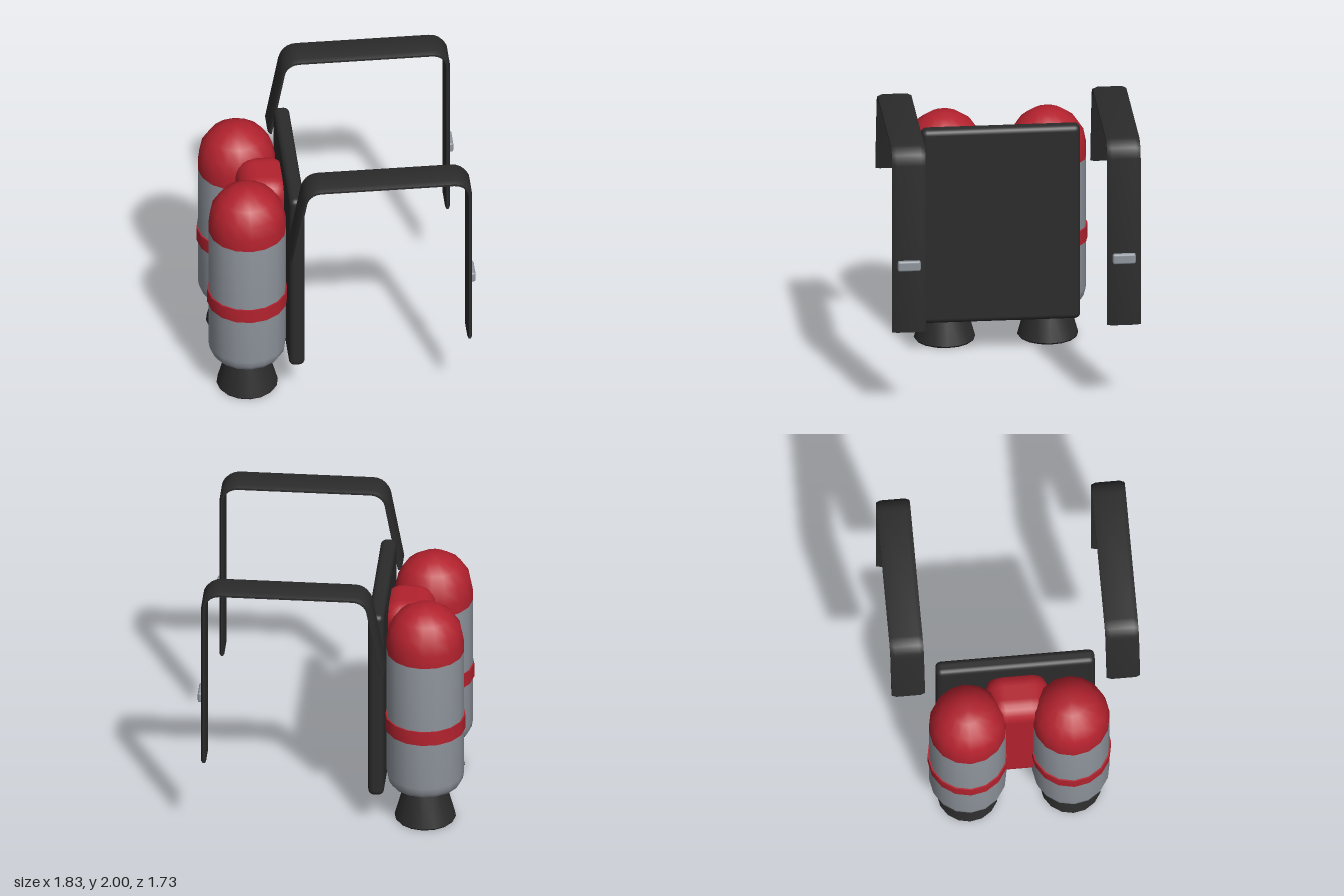
import * as THREE from 'three';
import { toCreasedNormals } from 'three/addons/utils/BufferGeometryUtils.js';
import { RoundedBoxGeometry } from 'three/addons/geometries/RoundedBoxGeometry.js';

const material = (name, color) => {
  const m = new THREE.MeshStandardMaterial({ color });
  m.name = name;
  return m;
};

function addMesh(parent, name, geometry, mat, x = 0, y = 0, z = 0) {
  const mesh = new THREE.Mesh(geometry, mat);
  mesh.name = name;
  mesh.position.set(x, y, z);
  parent.add(mesh);
  return mesh;
}

// Turned part from [radius, height] pairs, listed upwards along the outside
function turned(points) {
  const profile = points.map(([r, y]) => new THREE.Vector2(r, y));
  return toCreasedNormals(new THREE.LatheGeometry(profile, 16), 0.6);
}

// Points of an arc in the side plane, angles in degrees
function arc(cx, cy, r, from, to, steps) {
  return Array.from({ length: steps + 1 }, (_, i) => {
    const a = THREE.MathUtils.degToRad(from + (to - from) * i / steps);
    return [cx + r * Math.cos(a), cy + r * Math.sin(a)];
  });
}

// Thin band with bevelled edges swept along a path in the xy plane
function bandGeometry(path) {
  const section = [[-0.117, 0.004], [-0.085, 0.017], [0.085, 0.017],
    [0.117, 0.004], [0.117, -0.010], [0.085, -0.017], [-0.085, -0.017], [-0.117, -0.010]];
  const n = section.length;
  const pts = path.map(([x, y]) => new THREE.Vector2(x, y));
  const positions = [], index = [];
  pts.forEach((p, i) => {
    const a = pts[Math.max(i - 1, 0)], b = pts[Math.min(i + 1, pts.length - 1)];
    const t = b.clone().sub(a).normalize();
    for (const [z, h] of section) positions.push(p.x - t.y * h, p.y + t.x * h, z);
  });
  for (let i = 0; i < pts.length - 1; i++) {
    for (let j = 0; j < n; j++) {
      const a = i * n + j, b = i * n + (j + 1) % n;
      index.push(a, b, a + n, b, b + n, a + n);
    }
  }
  const last = (pts.length - 1) * n;
  for (let j = 1; j < n - 1; j++) {
    index.push(0, j + 1, j, last, last + j, last + j + 1);
  }
  const g = new THREE.BufferGeometry();
  g.setAttribute('position', new THREE.Float32BufferAttribute(positions, 3));
  g.setIndex(index);
  return toCreasedNormals(g, 0.5);
}

export function createModel() {
  const model = new THREE.Group();
  model.name = 'jetBackpack';
  const red = material('red', 0xb3222e);
  const grey = material('grey', 0x90969e);
  const black = material('black', 0x2b2b2b);
  const amber = material('amber', 0xb07a2c);

  // Back panel and the block joining the tanks
  addMesh(model, 'backPanel', new RoundedBoxGeometry(0.11, 1.44, 1.11, 3, 0.04), black, -0.305, 0.97, 0);
  addMesh(model, 'centreBlock', new RoundedBoxGeometry(0.36, 1.16, 0.44, 3, 0.13), red, -0.49, 0.985, 0);

  const bodyGeo = turned([[0, 0.265], [0.195, 0.265], [0.24, 0.285], [0.262, 0.32], [0.27, 0.365], [0.27, 1.33]]);
  const domeGeo = turned([[0.27, 1.33], ...arc(0, 1.42, 0.27, 0, 90, 4)]);
  const stripeGeo = turned([[0.265, 0.72], [0.28, 0.72], [0.28, 0.825], [0.265, 0.825]]);
  const nozzleGeo = turned([[0.155, 0.03], [0.165, 0], [0.205, 0], [0.214, 0.012], [0.14, 0.28]]);
  const glowGeo = new THREE.CircleGeometry(0.165, 16).rotateX(Math.PI / 2);

  // Shoulder strap: angled back end, over the top, down the front
  const strapGeo = bandGeometry([
    [0.87, 0.64],
    ...arc(0.76, 1.875, 0.11, 0, 90, 5),
    ...arc(-0.17, 1.875, 0.11, 90, 168, 5),
    [-0.37, 1.39],
  ].reverse());
  const buckleGeo = new RoundedBoxGeometry(0.04, 0.075, 0.16, 2, 0.014);

  for (const [side, s] of [['left', 1], ['right', -1]]) {
    const thruster = new THREE.Group();
    thruster.name = side + 'Thruster';
    thruster.position.set(-0.635, 0, s * 0.36);
    addMesh(thruster, 'tankBody', bodyGeo, grey);
    addMesh(thruster, 'tankDome', domeGeo, red);
    addMesh(thruster, 'tankStripe', stripeGeo, red);
    addMesh(thruster, 'nozzle', nozzleGeo, black);
    addMesh(thruster, 'nozzleGlow', glowGeo, amber, 0, 0.022, 0);
    model.add(thruster);

    const strap = new THREE.Group();
    strap.name = side + 'Strap';
    strap.position.z = s * 0.75;
    addMesh(strap, 'strapBand', strapGeo, black);
    addMesh(strap, 'buckle', buckleGeo, grey, 0.893, 1.138, 0);
    model.add(strap);
  }
  return model;
}
